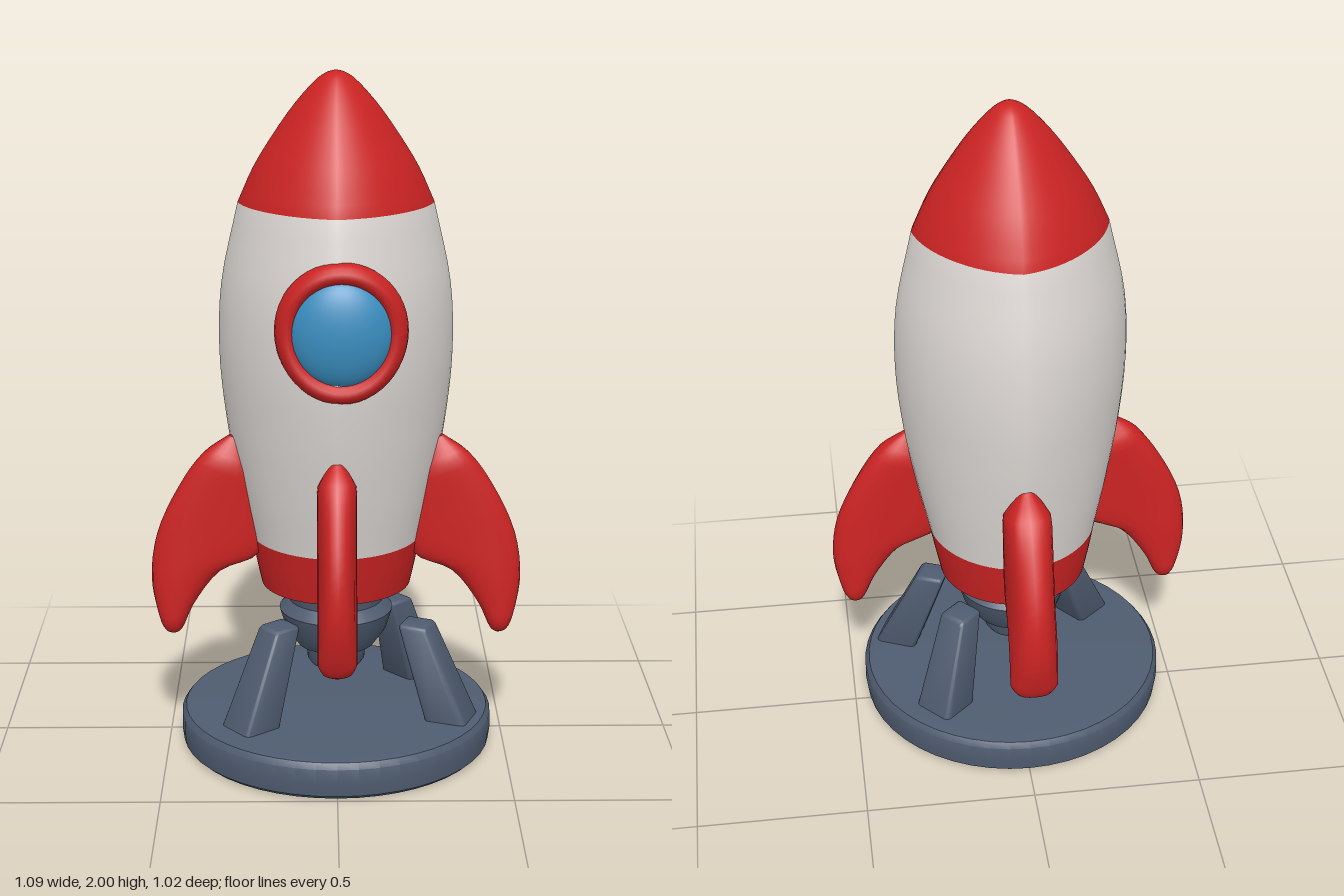
import * as THREE from 'three';
import { toCreasedNormals } from 'three/addons/utils/BufferGeometryUtils.js';
import { RoundedBoxGeometry } from 'three/addons/geometries/RoundedBoxGeometry.js';

const material = (name, color) => Object.assign(new THREE.MeshStandardMaterial({ color }), { name });

function addMesh(parent, name, geometry, mat) {
  const mesh = new THREE.Mesh(geometry, mat);
  mesh.name = name;
  parent.add(mesh);
  return mesh;
}

// Skin between closed rings listed from bottom to top, with both ends capped.
// materialOf(row) gives the material slot of each band.
function loft(rings, materialOf = () => 0) {
  const n = rings[0].length;
  const points = rings.flat();
  const index = [];
  const geometry = new THREE.BufferGeometry();
  const capFan = (ring, flip) => {
    const start = points.length;
    const centre = ring.reduce((s, p) => s.add(p), new THREE.Vector3()).divideScalar(n);
    points.push(centre, ...ring);
    for (let i = 0; i < n; i++) {
      const a = start + 1 + i, b = start + 1 + (i + 1) % n;
      index.push(start, flip ? b : a, flip ? a : b);
    }
  };
  capFan(rings[0], true);
  geometry.addGroup(0, index.length, materialOf(0));
  for (let j = 0; j < rings.length - 1; j++) {
    const start = index.length;
    for (let i = 0; i < n; i++) {
      const a = j * n + i, b = j * n + (i + 1) % n;
      index.push(a, b, b + n, a, b + n, a + n);
    }
    geometry.addGroup(start, index.length - start, materialOf(j));
  }
  const start = index.length;
  capFan(rings[rings.length - 1], false);
  geometry.addGroup(start, index.length - start, materialOf(rings.length - 2));
  geometry.setAttribute('position', new THREE.Float32BufferAttribute(points.flatMap(p => [p.x, p.y, p.z]), 3));
  geometry.setIndex(index);
  geometry.computeVertexNormals();
  return geometry;
}

const angles = n => Array.from({ length: n }, (_, i) => (i / n) * Math.PI * 2);
const smooth = (pairs, count) =>
  new THREE.CatmullRomCurve3(pairs.map(([x, y, z = 0]) => new THREE.Vector3(x, y, z)), false, 'centripetal')
    .getPoints(count);

// Hull with a softly four-cornered section, leaning slightly to the front
function hullGeometry() {
  const bottom = [[0.22, 0.49], [0.235, 0.56], [0.25, 0.64]];
  const middle = [[0.25, 0.64], [0.288, 0.82], [0.318, 1.0], [0.335, 1.2], [0.326, 1.4], [0.277, 1.63]];
  const nose = [[0.277, 1.63], [0.232, 1.73], [0.177, 1.82], [0.113, 1.91], [0.05, 1.978], [0.022, 1.995], [0.001, 2.0]];
  const profile = [...smooth(bottom, 4), ...smooth(middle, 20).slice(1), ...smooth(nose, 18).slice(1)];
  const rings = profile.map(({ x: r, y }) => angles(64).map(a => {
    const corner = 0.085 * THREE.MathUtils.smoothstep(y, 0.4, 1.1);
    const k = r * (1 - corner * Math.abs(Math.sin(2 * a)));
    return new THREE.Vector3(k * Math.cos(a), y, 0.02 + 0.03 * (y - 0.5) - k * Math.sin(a));
  }));
  return loft(rings, j => (j >= 4 && j < 24 ? 1 : 0));
}

// Curved fin: lens-like sections strung between an outer and an inner edge
function finGeometry(shift, topShift, thickness) {
  const outer = smooth([[0.29, 0.955], [0.37, 0.9], [0.445, 0.8], [0.515, 0.655], [0.537, 0.52],
    [0.525, 0.42], [0.505, 0.36], [0.485, 0.345]], 28);
  const inner = smooth([[0.25, 0.945], [0.22, 0.85], [0.2, 0.74], [0.21, 0.6], [0.33, 0.545],
    [0.415, 0.44], [0.455, 0.36], [0.475, 0.345]], 28);
  const rings = outer.map((o, k) => {
    const t = k / 28;
    const move = shift + topShift * (1 - t) ** 1.5;
    const half = thickness * Math.min(1, 0.25 + 5 * t, 0.15 + 4 * (1 - t));
    return angles(20).map(a => {
      const c = Math.cos(a), s = Math.sin(a);
      const p = inner[k].clone().lerp(o, 0.5 + 0.5 * c);
      return new THREE.Vector3(p.x + move, p.y, -half * Math.sign(s) * Math.abs(s) ** 0.75);
    });
  });
  return loft(rings.reverse());
}

// Wraps a flat part around the hull's front
function wrap(geometry, amount) {
  const p = geometry.attributes.position;
  for (let i = 0; i < p.count; i++) p.setZ(i, p.getZ(i) - amount * p.getX(i) ** 2);
  geometry.computeVertexNormals();
  return geometry;
}

const lathe = (pairs, sides) =>
  toCreasedNormals(new THREE.LatheGeometry(pairs.map(([x, y]) => new THREE.Vector2(x, y)), sides), 0.6);

export function createModel() {
  const model = new THREE.Group();
  model.name = 'rocket';
  const red = material('red', 0xcc2323);
  const white = material('warm white', 0xddd8d4);
  const blue = material('window blue', 0x3a8ec0);
  const slate = material('slate', 0x4f5c70);

  addMesh(model, 'hull', hullGeometry(), [red, white]);

  // Porthole
  const porthole = new THREE.Group();
  porthole.name = 'porthole';
  porthole.position.set(0.012, 1.32, 0.345);
  model.add(porthole);
  addMesh(porthole, 'windowRim',
    wrap(new THREE.TorusGeometry(0.16, 0.03, 14, 48).scale(0.97, 1.04, 1.5), 0.9), red);
  addMesh(porthole, 'windowGlass',
    wrap(new THREE.SphereGeometry(0.15, 40, 24).scale(0.97, 1.03, 0.45), 0.5), blue);

  // Four fins: name, turn, x, z, edge shift, extra shift at the top, half thickness
  for (const [name, turn, x, z, shift, top, half] of [
    ['leftFin', 0, 0, 0.08, 0, 0.02, 0.05],
    ['rightFin', Math.PI, 0, 0.08, 0, 0.02, 0.05],
    ['frontFin', -Math.PI / 2, 0, 0, -0.047, 0.09, 0.056],
    ['backFin', Math.PI / 2, -0.004, 0, -0.036, 0.02, 0.07],
  ]) {
    const fin = addMesh(model, name, finGeometry(shift, top, half), red);
    fin.rotation.y = turn;
    fin.position.set(x, 0, z);
  }

  // Engine nozzle
  addMesh(model, 'nozzle', lathe([[0, 0.235], [0.075, 0.235], [0.085, 0.25], [0.088, 0.3], [0.115, 0.3],
    [0.15, 0.35], [0.168, 0.41], [0.15, 0.43], [0.14, 0.44], [0.15, 0.5], [0, 0.5]], 32), slate)
    .position.set(0, 0, 0.035);

  // Launch stand
  const stand = new THREE.Group();
  stand.name = 'launchStand';
  model.add(stand);
  const base = addMesh(stand, 'basePlate', lathe([[0, 0], [0.445, 0], [0.458, 0.012], [0.463, 0.05],
    [0.462, 0.095], [0.45, 0.112], [0.42, 0.115], [0, 0.108]], 48), slate);
  base.scale.z = 0.972;
  base.position.z = 0.05;

  // Slanted support legs: foot x, z and top x, z
  for (const [fx, fz, tx, tz] of [
    [-0.26, 0.25, -0.165, 0.14],
    [0.35, 0.18, 0.235, 0.12],
    [0.24, -0.19, 0.17, -0.085],
  ]) {
    const leg = new RoundedBoxGeometry(0.11, 0.31, 0.11, 3, 0.015);
    const p = leg.attributes.position;
    const turn = Math.atan2(fx, fz - 0.035);
    leg.rotateY(turn);
    for (let i = 0; i < p.count; i++) {
      const t = p.getY(i) / 0.31 + 0.5;
      const size = 1.2 - 0.4 * t;
      p.setXYZ(i, p.getX(i) * size + fx + (tx - fx) * t, 0.08 + 0.31 * t, p.getZ(i) * size + fz + (tz - fz) * t);
    }
    leg.computeVertexNormals();
    addMesh(stand, 'supportLeg', toCreasedNormals(leg, 0.6), slate);
  }
  return model;
}
